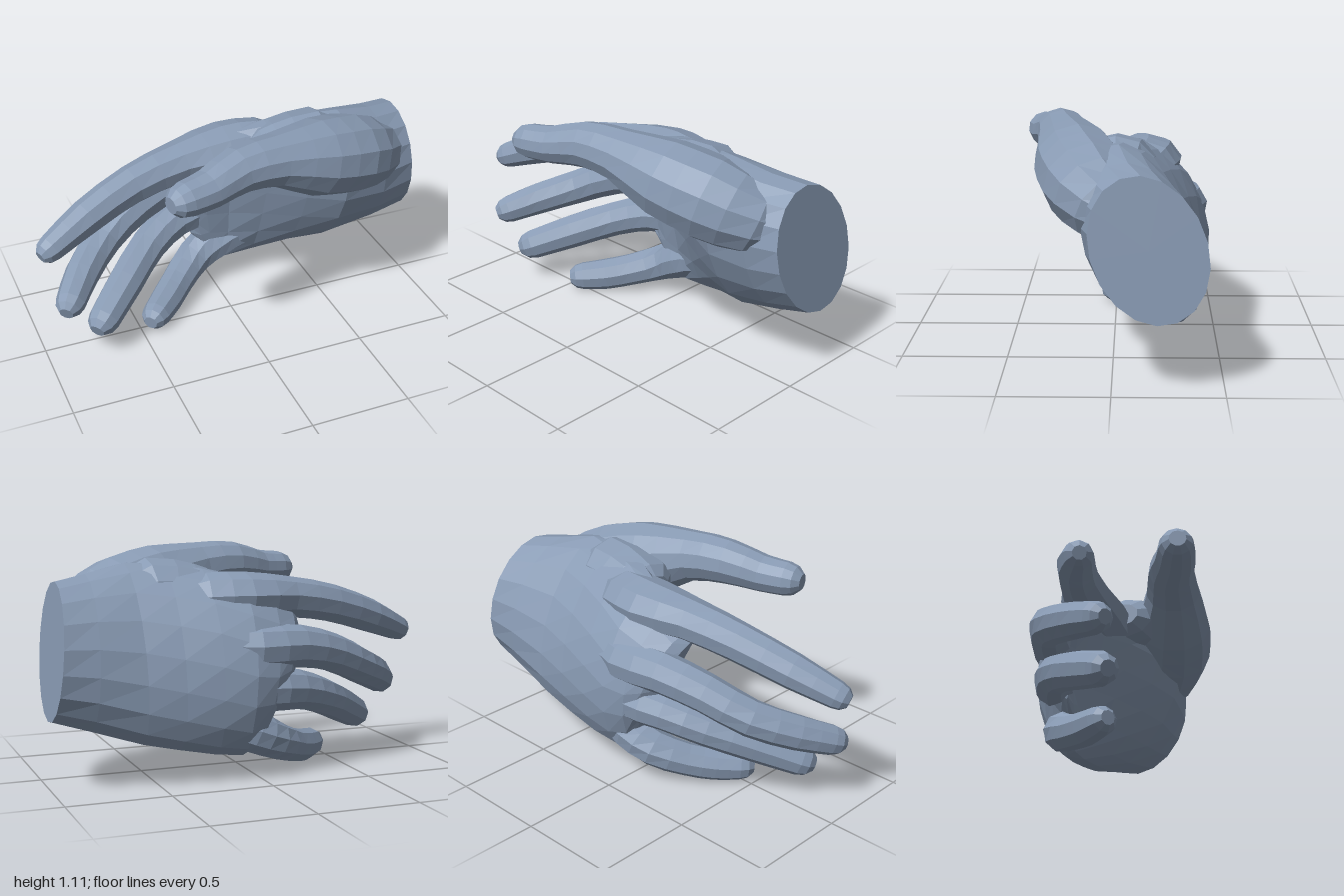
import * as THREE from 'three';

const material = new THREE.MeshStandardMaterial({ color: 0x899bb4, flatShading: true });

// Skin a list of rings (equal point counts) and close both ends
function loft(name, rings) {
  const n = rings[0].length, pos = [], index = [];
  const center = ring => ring.reduce((s, p) => s.add(p), new THREE.Vector3()).divideScalar(n);
  rings.flat().forEach(p => pos.push(p.x, p.y, p.z));
  const first = rings.length * n, last = first + 1, end = (rings.length - 1) * n;
  [rings[0], rings[rings.length - 1]].forEach(r => pos.push(...center(r).toArray()));
  for (let j = 0; j < n; j++) {
    const k = (j + 1) % n;
    for (let i = 0; i < end; i += n) {
      index.push(i + j, i + n + j, i + n + k, i + j, i + n + k, i + k);
    }
    index.push(first, j, k, last, end + k, end + j);
  }
  const geo = new THREE.BufferGeometry();
  geo.setAttribute('position', new THREE.Float32BufferAttribute(pos, 3));
  geo.setIndex(index);
  geo.computeVertexNormals();
  const mesh = new THREE.Mesh(geo, material);
  mesh.name = name;
  return mesh;
}

// Round-tipped limb through points [x, y, z, radius, depthRadius = radius]
function limb(name, pts, sides = 9) {
  const path = new THREE.CatmullRomCurve3(pts.map(p => new THREE.Vector3(p[0], p[1], p[2])));
  const size = new THREE.CatmullRomCurve3(pts.map(p => new THREE.Vector3(p[3], p[4] ?? p[3], 0)));
  const rings = [], steps = (pts.length - 1) * 2;
  const addRing = (t, push, scale) => {
    const d = path.getTangent(t), s = size.getPoint(t);
    const c = path.getPoint(t).addScaledVector(d, push * s.x);
    const v = new THREE.Vector3(0, 1, 0).addScaledVector(d, -d.y).normalize();
    const w = v.clone().cross(d);
    rings.push(Array.from({ length: sides }, (_, j) => {
      const a = j / sides * Math.PI * 2;
      return c.clone().addScaledVector(v, Math.cos(a) * s.x * scale)
        .addScaledVector(w, Math.sin(a) * s.y * scale);
    }));
  };
  for (let i = 0; i <= steps; i++) addRing(i / steps, 0, 1);
  addRing(1, 0.55, 0.85);
  addRing(1, 0.95, 0.48);
  return loft(name, rings);
}

// Palm and wrist: tilted ellipses [x, y, z, halfWidth, halfThickness, tiltDegrees, arch, slant]
function palm() {
  const sections = [
    [0.97, 0.65, -0.16, 0.33, 0.25, 22, 0, 0.1],
    [0.8, 0.635, -0.14, 0.38, 0.255, 25, 0, 0.05],
    [0.58, 0.62, -0.13, 0.45, 0.245, 25, 0, 0],
    [0.4, 0.605, -0.17, 0.46, 0.215, 22, 0.02, 0],
    [0.22, 0.585, -0.22, 0.46, 0.18, 18, 0.05, 0],
    [0.06, 0.555, -0.265, 0.435, 0.145, 13, 0.07, 0.05],
    [-0.06, 0.54, -0.265, 0.38, 0.12, 12, 0.07, 0.15],
    [-0.14, 0.55, -0.255, 0.28, 0.09, 12, 0.07, 0.3],
    [-0.19, 0.56, -0.25, 0.22, 0.04, 12, 0.06, 0.3],
  ];
  const sides = 18;
  return loft('palm', sections.map(([x, y, z, a, b, deg, arch, slant]) => {
    const tilt = THREE.MathUtils.degToRad(deg), c = Math.cos(tilt), s = Math.sin(tilt);
    return Array.from({ length: sides }, (_, j) => {
      const t = j / sides * Math.PI * 2;
      const along = a * Math.cos(t);
      const across = b * Math.sin(t) - arch * (1 - 2 * Math.cos(t) ** 2) * 0.7;
      const py = y + along * c - across * s;
      return new THREE.Vector3(x - slant * (py - y), py, z + along * s + across * c);
    });
  }));
}

export function createModel() {
  const hand = new THREE.Group();
  hand.name = 'hand';
  hand.add(palm());

  // Thumb with the fleshy mound at its base
  hand.add(limb('thumb', [
    [0.86, 0.71, -0.1, 0.08], [0.76, 0.79, 0.02, 0.165, 0.17], [0.57, 0.865, 0.11, 0.2, 0.215],
    [0.36, 0.92, 0.175, 0.19, 0.2], [0.12, 0.985, 0.235, 0.127, 0.14],
    [-0.08, 0.995, 0.275, 0.112, 0.118], [-0.25, 0.965, 0.335, 0.092, 0.102],
    [-0.375, 0.96, 0.372, 0.085, 0.09],
  ], 11));

  // Skin between thumb and index finger
  hand.add(limb('thumbWebbing', [
    [0.66, 0.84, -0.02, 0.06], [0.45, 0.915, -0.01, 0.145, 0.19], [0.24, 0.9, -0.03, 0.125, 0.18],
  ], 10));

  // Fingers, tapering into the back of the palm and curling forward
  const fingers = {
    indexFinger: [[0.42, 0.83, -0.09, 0.06], [0.2, 0.865, -0.15, 0.125, 0.15],
      [0.02, 0.865, -0.165, 0.125, 0.165], [-0.22, 0.855, -0.135, 0.103, 0.12],
      [-0.48, 0.808, -0.09, 0.097], [-0.74, 0.725, -0.015, 0.088], [-0.94, 0.645, 0.062, 0.068]],
    middleFinger: [[0.42, 0.66, -0.2, 0.05], [0.2, 0.65, -0.29, 0.09], [0.02, 0.64, -0.345, 0.113],
      [-0.2, 0.635, -0.315, 0.105], [-0.42, 0.58, -0.25, 0.097], [-0.62, 0.49, -0.16, 0.092],
      [-0.78, 0.415, -0.01, 0.086], [-0.88, 0.36, 0.125, 0.074]],
    ringFinger: [[0.42, 0.48, -0.2, 0.05], [0.2, 0.46, -0.28, 0.09], [0, 0.44, -0.335, 0.11],
      [-0.2, 0.42, -0.295, 0.099], [-0.38, 0.36, -0.2, 0.092], [-0.55, 0.28, -0.05, 0.09],
      [-0.715, 0.195, 0.1, 0.08]],
    littleFinger: [[0.42, 0.33, -0.26, 0.05], [0.2, 0.29, -0.29, 0.09], [0.03, 0.23, -0.305, 0.105],
      [-0.1, 0.17, -0.28, 0.095], [-0.23, 0.115, -0.18, 0.085], [-0.33, 0.086, -0.08, 0.083],
      [-0.415, 0.075, 0.008, 0.074]],
  };
  for (const [name, pts] of Object.entries(fingers)) hand.add(limb(name, pts));
  return hand;
}
